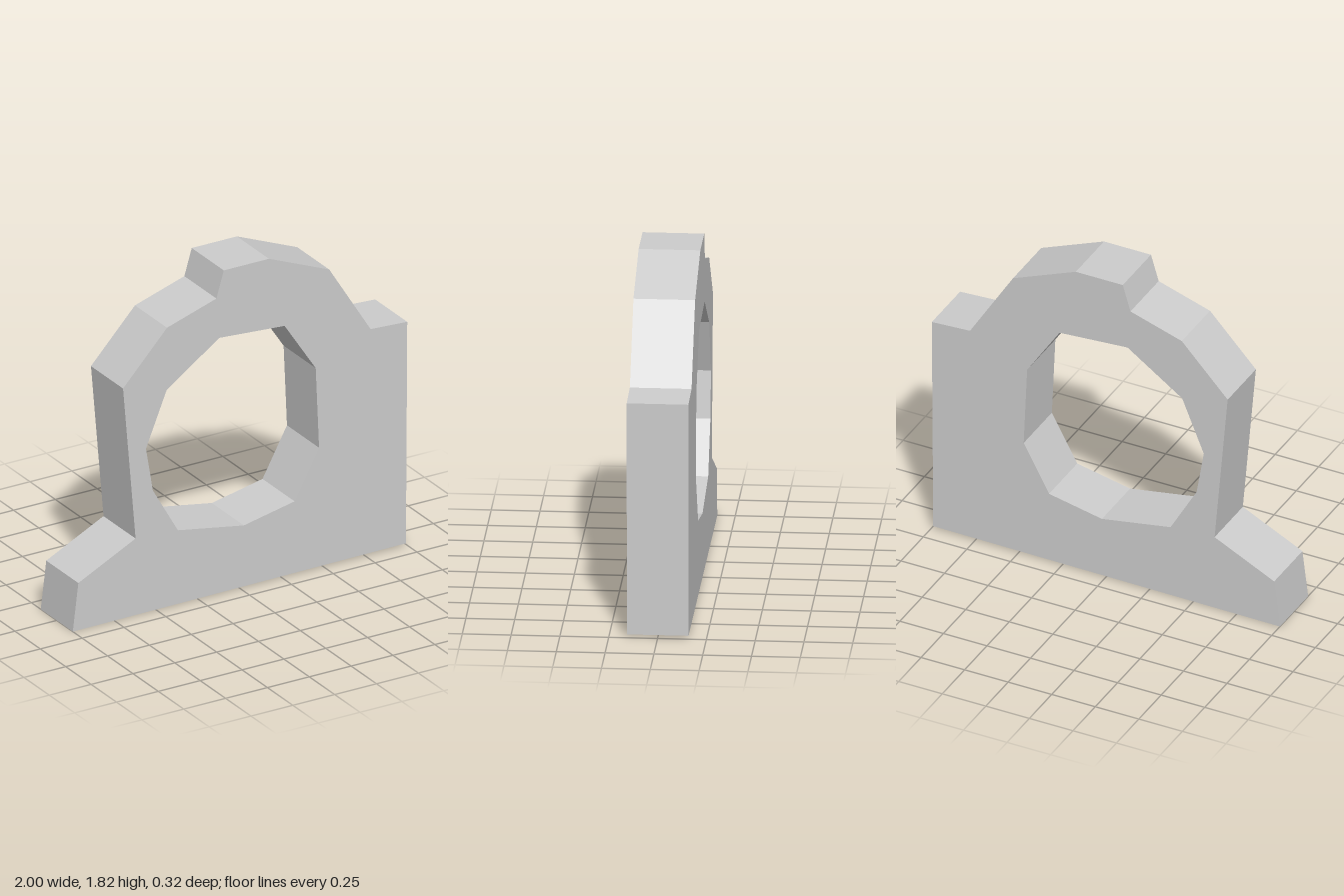
import * as THREE from 'three';

const DEPTH = 0.316;
const toPoints = (pairs) => pairs.map(([x, y]) => new THREE.Vector2(x, y));

export function createModel() {
  const model = new THREE.Group();
  model.name = 'bearingBlock';

  // Outline: foot on the right, tall flat flank on the left, boss on top
  const outline = new THREE.Shape(toPoints([
    [-1, 0], [0.99, 0.015], [0.998, 1.262], [0.779, 1.274],
    [0.532, 1.67], [0.172, 1.818], [-0.098, 1.818], [-0.142, 1.67],
    [-0.437, 1.577], [-0.7, 1.298], [-0.625, 0.434], [-0.967, 0.266],
  ]));

  // Faceted bore through the block
  outline.holes.push(new THREE.Path(toPoints([
    [0.022, 0.351], [-0.372, 0.419], [-0.522, 0.68], [-0.563, 0.926],
    [-0.439, 1.227], [-0.125, 1.444], [0.265, 1.417], [0.451, 1.134],
    [0.471, 0.68], [0.325, 0.413],
  ])));

  const geometry = new THREE.ExtrudeGeometry(outline, { depth: DEPTH, bevelEnabled: false });
  geometry.translate(0, 0, -DEPTH / 2);

  const block = new THREE.Mesh(
    geometry,
    new THREE.MeshStandardMaterial({ color: 0xcccccc, flatShading: true }),
  );
  block.name = 'housing';
  model.add(block);
  return model;
}
